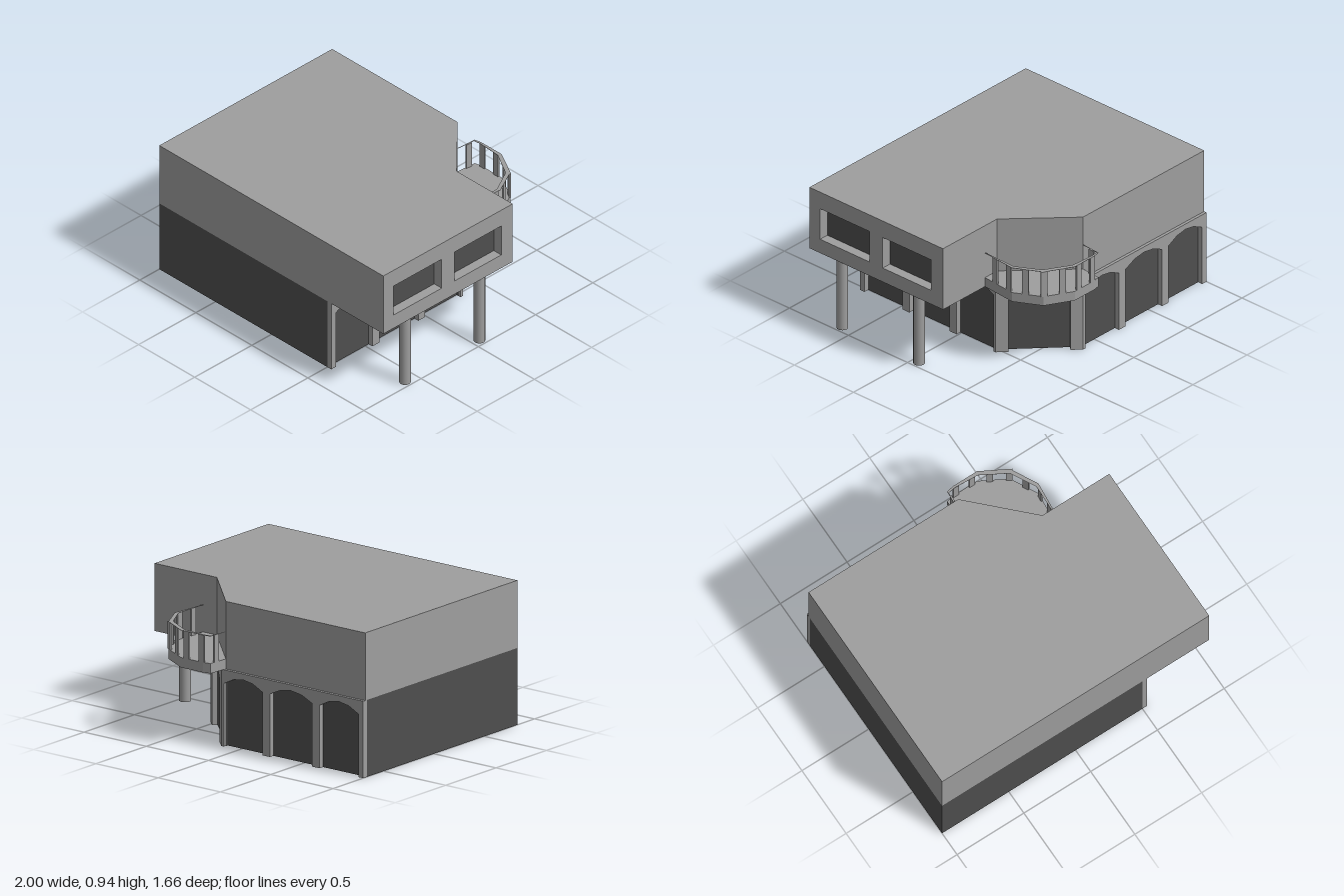
import * as THREE from 'three';

const light = new THREE.MeshStandardMaterial({ color: 0x9e9e9e });
const dark = new THREE.MeshStandardMaterial({ color: 0x4e4e4e, side: THREE.DoubleSide });
const white = new THREE.MeshStandardMaterial({ color: 0xffffff });

function add(parent, name, geometry, material = light) {
  const mesh = new THREE.Mesh(geometry, material);
  mesh.name = name;
  parent.add(mesh);
  return mesh;
}

// Prism over a plan outline given as [x, z] points, from y0 to y1
function prism(points, y0, y1) {
  const shape = new THREE.Shape(points.map(([x, z]) => new THREE.Vector2(x, -z)));
  const geo = new THREE.ExtrudeGeometry(shape, { depth: y1 - y0, bevelEnabled: false });
  return geo.rotateX(-Math.PI / 2).translate(0, y0, 0);
}

// Turn about y that lays local x along (dx, dz); local z then points outward
const heading = (dx, dz) => Math.atan2(-dz, dx);

// Wall strip between two plan points, pierced by flat-arched openings [start, end]
function arcade(parent, name, a, b, openings) {
  const dx = b[0] - a[0], dz = b[1] - a[1], length = Math.hypot(dx, dz);
  const spring = 0.41, rise = 0.052, segments = 4;
  const shape = new THREE.Shape();
  shape.moveTo(0, 0);
  for (const [u0, u1] of openings) {
    shape.lineTo(u0, 0);
    for (let i = 0; i <= segments; i++) {
      const t = i / segments;
      shape.lineTo(u0 + (u1 - u0) * t, spring + rise * (1 - (2 * t - 1) ** 2));
    }
    shape.lineTo(u1, 0);
  }
  shape.lineTo(length, 0);
  shape.lineTo(length, 0.5);
  shape.lineTo(0, 0.5);
  const geo = new THREE.ExtrudeGeometry(shape, { depth: 0.035, bevelEnabled: false });
  geo.translate(0, 0, -0.035);
  const mesh = add(parent, name, geo);
  mesh.position.set(a[0], 0, a[1]);
  mesh.rotation.y = heading(dx, dz);
}

function buildGroundFloor() {
  const group = new THREE.Group();
  group.name = 'groundFloor';

  // Dark recessed walls, open underneath, below a pale ceiling
  const plan = [[-1, 0.83], [0.5, 0.83], [0.5, -0.305], [0.125, -0.665], [-1, -0.665]];
  plan.forEach((a, i) => {
    const b = plan[(i + 1) % plan.length];
    const dx = b[0] - a[0], dz = b[1] - a[1];
    const wall = add(group, 'groundWall', new THREE.PlaneGeometry(Math.hypot(dx, dz), 0.5), dark);
    wall.position.set((a[0] + b[0]) / 2, 0.25, (a[1] + b[1]) / 2);
    wall.rotation.y = heading(dx, dz);
  });
  add(group, 'ceiling', prism(plan, 0.497, 0.5), white).scale.set(0.998, 1, 0.998);

  // Arcades along the side, the cut corner and the back
  const c1 = [0.535, -0.32], c2 = [0.14, -0.7];
  arcade(group, 'sideArcade', [0.535, 0.83], c1, [[0.04, 0.36], [0.42, 0.76], [0.82, 1.13]]);
  arcade(group, 'cornerArcade', c1, c2, [[0.08, 0.468]]);
  arcade(group, 'backArcade', c2, [-1, -0.7], [[0.02, 0.33], [0.39, 0.73], [0.79, 1.1]]);
  return group;
}

function buildUpperFloor() {
  const group = new THREE.Group();
  group.name = 'upperFloor';
  const plan = [[-1, 0.83], [0.93, 0.83], [0.93, -0.3], [0.5, -0.3], [0.12, -0.68], [-1, -0.68]];
  add(group, 'upperBlock', prism(plan, 0.5, 0.94));

  // End wall with two window openings; local x runs from front to back
  const shape = new THREE.Shape();
  shape.moveTo(0, 0.5).lineTo(1.13, 0.5).lineTo(1.13, 0.94).lineTo(0, 0.94);
  for (const [z0, z1] of [[0.74, 0.32], [0.21, -0.2]]) {
    const hole = new THREE.Path();
    const u0 = 0.83 - z0, u1 = 0.83 - z1;
    hole.moveTo(u0, 0.6).lineTo(u0, 0.82).lineTo(u1, 0.82).lineTo(u1, 0.6);
    shape.holes.push(hole);

    const pane = add(group, 'windowPane', new THREE.PlaneGeometry(z0 - z1, 0.22), dark);
    pane.position.set(0.933, 0.71, (z0 + z1) / 2);
    pane.rotation.y = Math.PI / 2;
  }
  const wall = add(group, 'windowWall',
    new THREE.ExtrudeGeometry(shape, { depth: 0.07, bevelEnabled: false }));
  wall.position.set(0.93, 0, 0.83);
  wall.rotation.y = Math.PI / 2;
  return group;
}

function buildBalcony() {
  const group = new THREE.Group();
  group.name = 'balcony';
  const outer = [[0.612, -0.3], [0.635, -0.55], [0.54, -0.73], [0.36, -0.83],
    [0.18, -0.83], [0.13, -0.82], [0.12, -0.68]];
  const inner = [[0.606, -0.3], [0.613, -0.54], [0.523, -0.705], [0.35, -0.805],
    [0.185, -0.815], [0.135, -0.808], [0.124, -0.684]];
  add(group, 'balconySlab', prism([...outer, [0.5, -0.3]], 0.5, 0.565));
  add(group, 'handrail', prism([...outer, ...inner.slice().reverse()], 0.741, 0.743));

  // Posts evenly spaced along the edge
  const path = new THREE.CurvePath();
  for (let i = 0; i + 1 < outer.length; i++) {
    path.add(new THREE.LineCurve(new THREE.Vector2(...outer[i]), new THREE.Vector2(...outer[i + 1])));
  }
  const total = path.getLength();
  for (let k = 0; k < 8; k++) {
    const t = (0.093 + 0.122 * k) / total;
    const p = path.getPointAt(t), d = path.getTangentAt(t);
    const geo = new THREE.BoxGeometry(0.042, 0.178, 0.012).translate(0, 0, -0.006);
    const post = add(group, 'balconyPost', geo);
    post.position.set(p.x, 0.653, p.y);
    post.rotation.y = heading(d.x, d.y);
  }
  return group;
}

export function createModel() {
  const model = new THREE.Group();
  model.name = 'house';
  model.add(buildGroundFloor(), buildUpperFloor(), buildBalcony());

  // Round columns under the overhang
  for (const z of [0.595, -0.055]) {
    const column = add(model, 'column', new THREE.CylinderGeometry(0.037, 0.037, 0.5, 16));
    column.position.set(0.953, 0.25, z);
  }
  return model;
}
